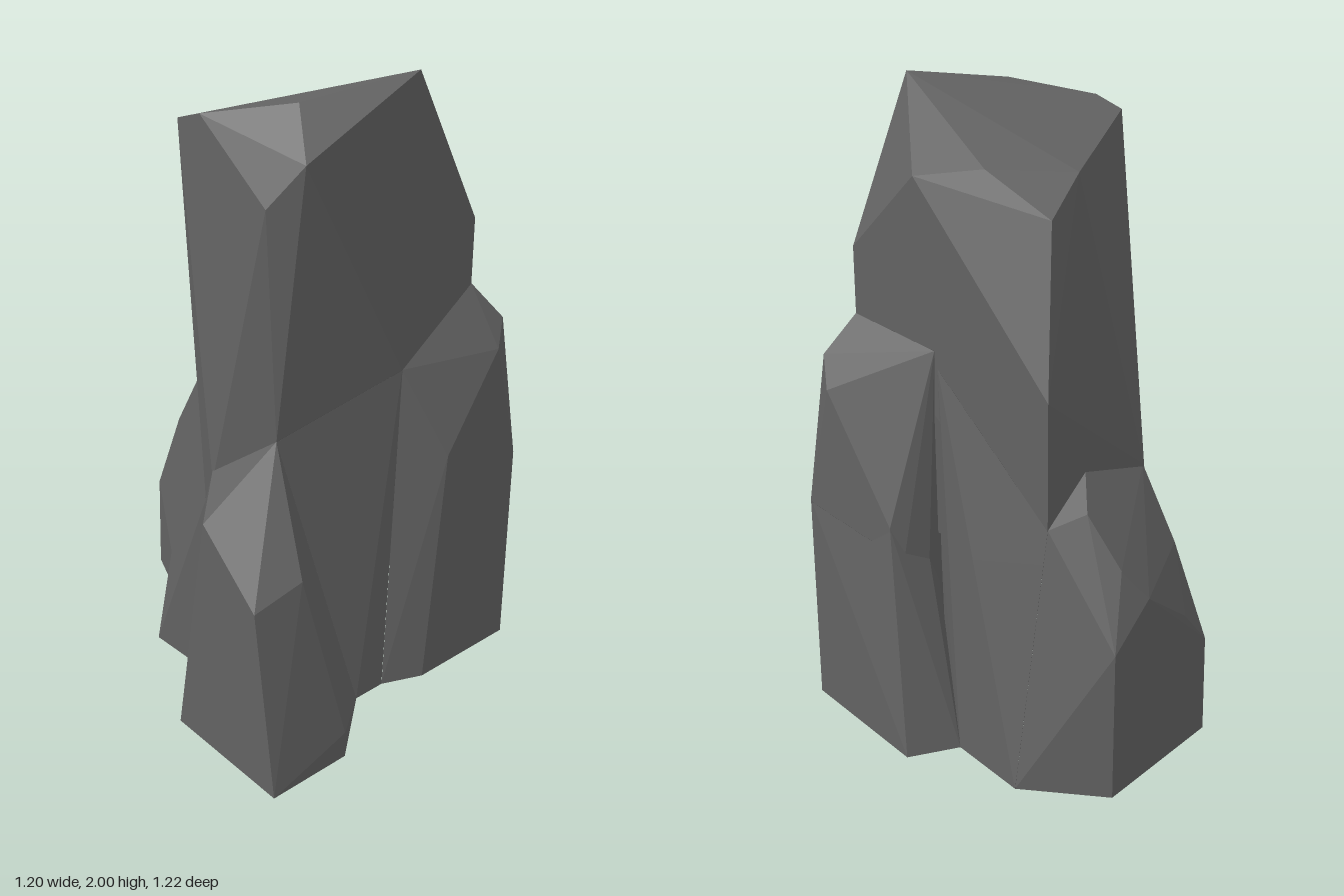
import * as THREE from 'three';
import { ConvexGeometry } from 'three/addons/geometries/ConvexGeometry.js';

// Corner points of each convex block of stone
const blocks = {
  mainColumn: [
    [0.11, 2, 0.395], [-0.23, 1.95, 0.285], [-0.39, 1.9, 0.06], [-0.39, 1.865, -0.04],
    [0.07, 1.775, -0.235], [0.265, 1.79, -0.05], [0.36, 1.76, 0.14], [0.23, 1.67, -0.265],
    [0.36, 1.51, 0.395], [-0.3, 1.82, 0.395], [-0.385, 1.7, 0.33],
    [0.36, 1.19, -0.36], [-0.11, 0.85, -0.36], [-0.47, 0.84, 0.18], [-0.4, 0.685, 0.05],
    [-0.365, 1, 0.345], [0.08, 1.1, 0.395], [0.36, 1.3, 0.395], [0.36, 1.25, 0.07],
    [0.36, 0.7, -0.36], [0.3, 0.6, 0.3],
  ],
  columnFoot: [
    [-0.11, 0.85, -0.36], [-0.4, 0.685, 0.05], [-0.4, 0, -0.24], [-0.22, 0, -0.36],
    [-0.39, 0, -0.04], [0.455, 0, -0.09], [0.51, 0, -0.36], [0.36, 0.8, -0.36],
    [0.36, 1.2, 0.06], [-0.365, 1, 0.345], [0.08, 1.1, 0.395], [-0.11, 0, 0.43], [0, 0, 0.43],
  ],
  frontLeftButtress: [
    [0.36, 1.3, 0.395], [0.36, 1.25, 0.07], [0.45, 1.18, 0.45], [0.5, 1.09, 0.39],
    [0.4, 1.1, 0.485], [0.505, 0.7, 0.485], [0.505, 0, 0.485], [0.13, 0, 0.485],
    [0.2, 0.8, 0.485], [0.08, 1.1, 0.395], [0.525, 0.72, 0.115], [0.54, 0.42, 0.09],
    [0.42, 0.6, 0.055], [0, 0, 0.43], [0.2, 0, 0.2],
  ],
  buttressFoot: [
    [0.42, 0.6, 0.055], [0.525, 0.72, 0.115], [0.54, 0.42, 0.09], [0.6, 0, 0],
    [0.455, 0, -0.09], [0.505, 0, 0.485], [0.505, 0.7, 0.485], [0.2, 0, 0.2], [0.25, 0.6, 0.2],
  ],
  frontRightBoulder: [
    [-0.47, 0.87, 0.18], [-0.6, 0.8, 0.3], [-0.365, 1, 0.345], [-0.6, 0.61, 0.525],
    [-0.44, 0.66, 0.545], [-0.6, 0, 0.605], [-0.32, 0, 0.605], [-0.32, 0.09, 0.605],
    [-0.11, 0, 0.43], [-0.6, 0, 0.15], [-0.39, 0, -0.05], [-0.4, 0.685, 0.05],
    [-0.2, 0.8, 0.2], [-0.1, 0, 0.1],
  ],
  backBoulder: [
    [0.18, 0.93, -0.355], [0.285, 0.85, -0.445], [0.27, 0.7, -0.56], [0.2, 0.6, -0.61],
    [0.36, 0.48, -0.61], [0.36, 0.8, -0.36], [0.36, 0, -0.61], [0.51, 0, -0.36],
    [0, 0.455, -0.605], [-0.11, 0.33, -0.61], [-0.12, 0, -0.61],
    [-0.1, 0.63, -0.49], [-0.11, 0.85, -0.355], [-0.22, 0, -0.36], [0.1, 0, -0.1],
    [0.2, 0.7, -0.2],
  ],
};

// Triangles of a hull as arrays of three vectors
function trianglesOf(points) {
  const pos = new ConvexGeometry(points.map((p) => new THREE.Vector3(...p))).attributes.position;
  const tris = [];
  for (let i = 0; i < pos.count; i += 3) {
    tris.push([0, 1, 2].map((k) => new THREE.Vector3().fromBufferAttribute(pos, i + k)));
  }
  return tris;
}

// Cut a polygon along a plane into its front and back parts
function split(poly, plane, eps) {
  const front = [];
  const back = [];
  poly.forEach((a, i) => {
    const b = poly[(i + 1) % poly.length];
    const da = plane.distanceToPoint(a) - eps;
    const db = plane.distanceToPoint(b) - eps;
    (da > 0 ? front : back).push(a);
    if (da > 0 !== db > 0) {
      const cut = a.clone().lerp(b, da / (da - db));
      front.push(cut);
      back.push(cut);
    }
  });
  return [front, back];
}

// Pieces of a polygon that lie outside a convex hull
function outside(poly, planes, eps) {
  const pieces = [];
  let rest = poly;
  for (const plane of planes) {
    const [front, back] = split(rest, plane, eps);
    if (front.length > 2) pieces.push(front);
    if (back.length < 3) return [poly];
    rest = back;
  }
  return pieces;
}

export function createModel() {
  const group = new THREE.Group();
  group.name = 'rock';
  const stone = new THREE.MeshStandardMaterial({
    color: 0x626262, flatShading: true, side: THREE.DoubleSide,
  });
  stone.name = 'grey stone';

  const hulls = Object.entries(blocks).map(([name, points]) => {
    const tris = trianglesOf(points);
    const planes = tris.map((t) => new THREE.Plane().setFromCoplanarPoints(...t));
    return { name, tris, planes };
  });

  hulls.forEach((hull, index) => {
    // The underside stays open
    let polys = hull.tris.filter((t) => t.some((p) => p.y > 0.001));
    // Trim away what is buried in the other blocks, so the rock is one hollow shell;
    // shared faces are kept by the earlier block only
    hulls.forEach((other, k) => {
      if (k === index) return;
      const eps = k < index ? 0.0005 : -0.0005;
      polys = polys.flatMap((p) => outside(p, other.planes, eps));
    });

    const corners = [];
    for (const p of polys) {
      for (let i = 1; i < p.length - 1; i++) corners.push(p[0], p[i], p[i + 1]);
    }
    const geometry = new THREE.BufferGeometry().setFromPoints(corners);
    geometry.computeVertexNormals();
    const mesh = new THREE.Mesh(geometry, stone);
    mesh.name = hull.name;
    group.add(mesh);
  });
  return group;
}
